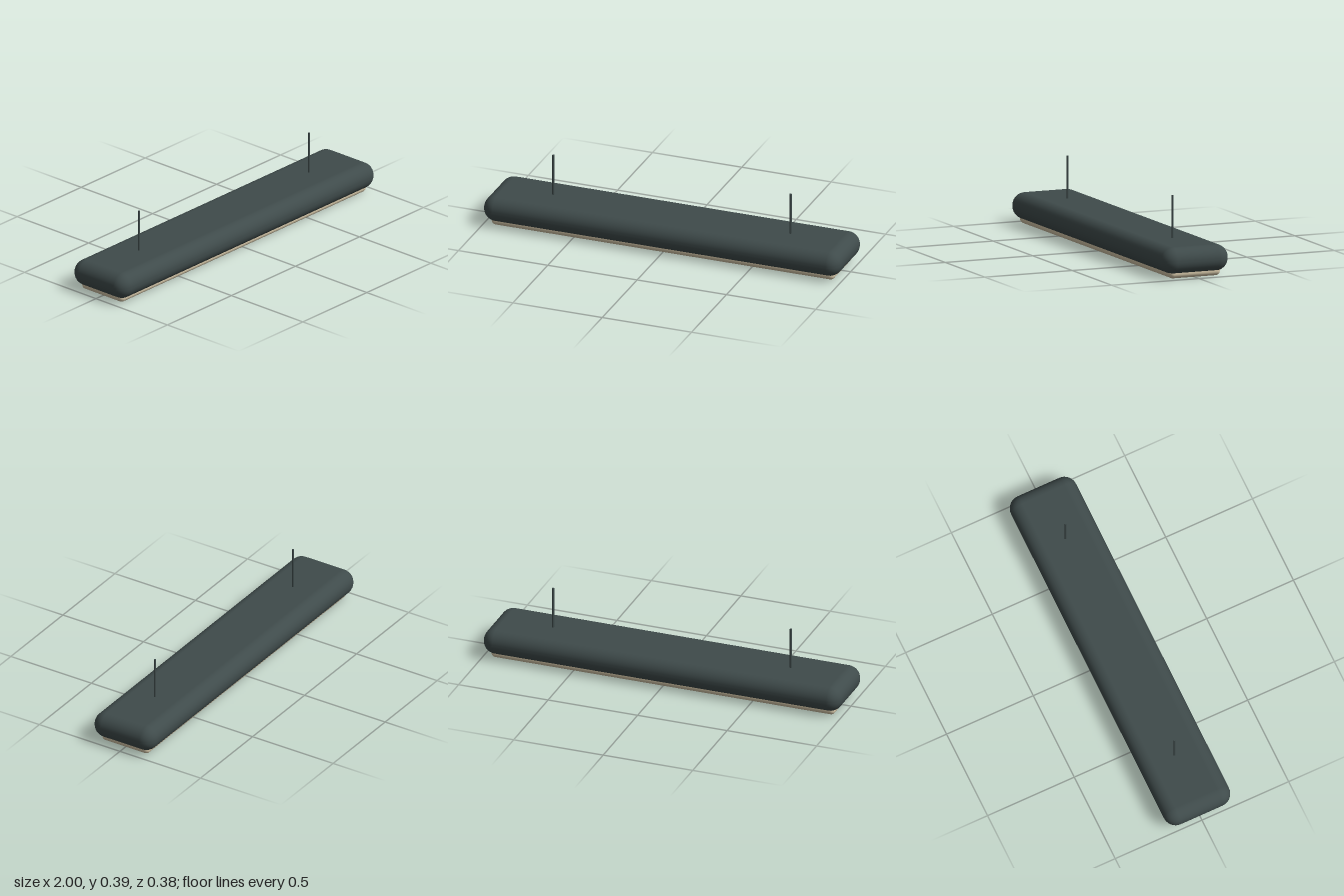
import * as THREE from 'three';
import { RoundedBoxGeometry } from 'three/addons/geometries/RoundedBoxGeometry.js';

export function createModel() {
  const model = new THREE.Group();
  model.name = 'pendantLamp';

  const darkMetal = new THREE.MeshStandardMaterial({ color: 0x3f4b4b });
  darkMetal.name = 'dark metal';
  const warmDiffuser = new THREE.MeshStandardMaterial({ color: 0xd4c6a8 });
  warmDiffuser.name = 'warm diffuser';

  const add = (name, geometry, material, x, y, z) => {
    const mesh = new THREE.Mesh(geometry, material);
    mesh.name = name;
    mesh.position.set(x, y, z);
    model.add(mesh);
  };

  // Long, fully rounded housing
  add('housing', new RoundedBoxGeometry(2, 0.14, 0.376, 5, 0.068), darkMetal, 0, 0.094, 0);

  // Light panel set into the underside
  add('diffuser', new RoundedBoxGeometry(1.92, 0.054, 0.292, 5, 0.024), warmDiffuser, 0, 0.027, 0);

  // Pair of suspension rods
  for (const side of [-1, 1]) {
    const name = side > 0 ? 'leftRod' : 'rightRod';
    add(name, new THREE.CylinderGeometry(0.006, 0.006, 0.24, 12), darkMetal, side * 0.664, 0.27, 0);
  }

  return model;
}
